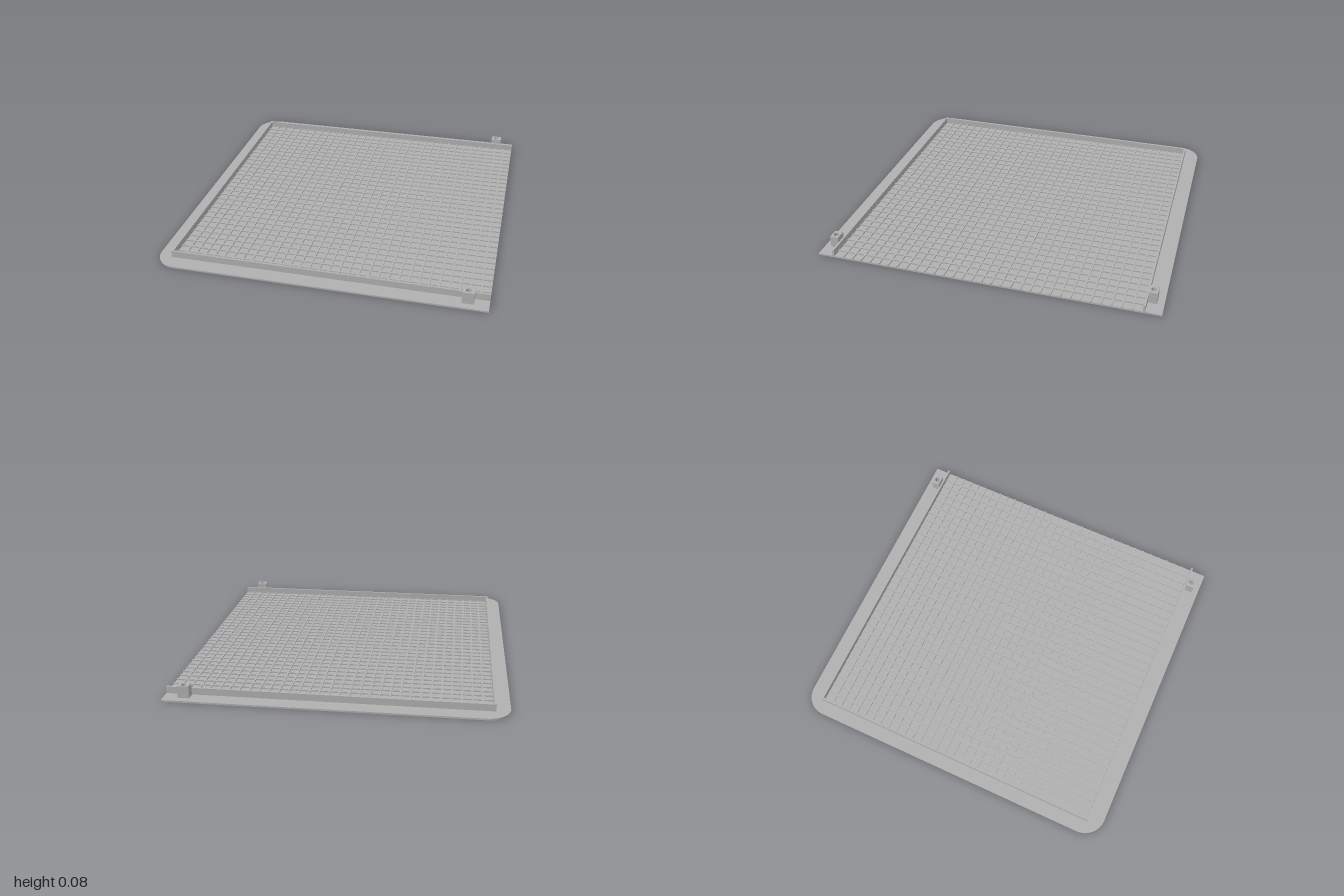
import * as THREE from 'three';

export function createModel() {
  const model = new THREE.Group();
  model.name = 'griddedTray';
  const grey = new THREE.MeshStandardMaterial({ color: 0xb0b0b0 });
  grey.name = 'plain grey';

  const add = (parent, name, geometry, x = 0, y = 0, z = 0) => {
    const mesh = new THREE.Mesh(geometry, grey);
    mesh.name = name;
    mesh.position.set(x, y, z);
    parent.add(mesh);
    return mesh;
  };
  // box given by its limits on each axis
  const box = (parent, name, x0, x1, y0, y1, z0, z1) =>
    add(parent, name, new THREE.BoxGeometry(x1 - x0, y1 - y0, z1 - z0),
      (x0 + x1) / 2, (y0 + y1) / 2, (z0 + z1) / 2);
  // flat shape extruded upward from height y
  const slab = (parent, name, shape, depth, x, y, z) => {
    const geometry = new THREE.ExtrudeGeometry(shape, { depth, bevelEnabled: false, curveSegments: 16 });
    geometry.rotateX(-Math.PI / 2);
    return add(parent, name, geometry, x, y, z);
  };

  const plateTop = 0.01, endX = 0.95, rimX = -0.87, rimZ = 0.91, wall = 0.012;

  // base plate, rounded at its two left-hand corners
  const r = 0.13;
  const outline = new THREE.Shape();
  outline.moveTo(endX, -1);
  outline.lineTo(endX, 1);
  outline.lineTo(-endX + r, 1);
  outline.absarc(-endX + r, 1 - r, r, Math.PI / 2, Math.PI, false);
  outline.lineTo(-endX, -1 + r);
  outline.absarc(-endX + r, -1 + r, r, Math.PI, Math.PI * 1.5, false);
  outline.closePath();
  slab(model, 'basePlate', outline, plateTop, 0, 0, 0);

  // raised rim on three sides, open at the +x end
  const rim = new THREE.Group();
  rim.name = 'rim';
  model.add(rim);
  box(rim, 'endWall', rimX, rimX + wall, plateTop, 0.05, -rimZ, rimZ);
  for (const s of [-1, 1]) {
    const a = s * rimZ, b = s * (rimZ - wall);
    box(rim, 'sideWall', rimX + wall, endX, plateTop, 0.05, Math.min(a, b), Math.max(a, b));
  }

  // crossing ribs that divide the floor into small squares
  const grid = new THREE.Group();
  grid.name = 'floorGrid';
  model.add(grid);
  const cells = 32, half = 0.005, ribTop = 0.018;
  const x0 = rimX + wall, z0 = -rimZ + wall;
  const pitchX = (endX - x0) / cells, pitchZ = -2 * z0 / cells;
  for (let i = 1; i < cells; i++) {
    const x = x0 + i * pitchX, z = z0 + i * pitchZ;
    box(grid, 'crossRib', x - half, x + half, plateTop, ribTop, z0, -z0);
    box(grid, 'longRib', x0, endX, plateTop, ribTop, z - half, z + half);
  }

  // drilled lugs outside the rim near the open end
  const lug = new THREE.Shape();
  lug.moveTo(-0.033, -0.025);
  lug.lineTo(0.033, -0.025);
  lug.lineTo(0.033, 0.025);
  lug.lineTo(-0.033, 0.025);
  lug.closePath();
  const bore = new THREE.Path();
  bore.absarc(0, 0, 0.016, 0, Math.PI * 2, true);
  lug.holes.push(bore);
  for (const s of [-1, 1]) slab(model, 'drilledLug', lug, 0.07, 0.835, plateTop, s * 0.936);

  return model;
}
